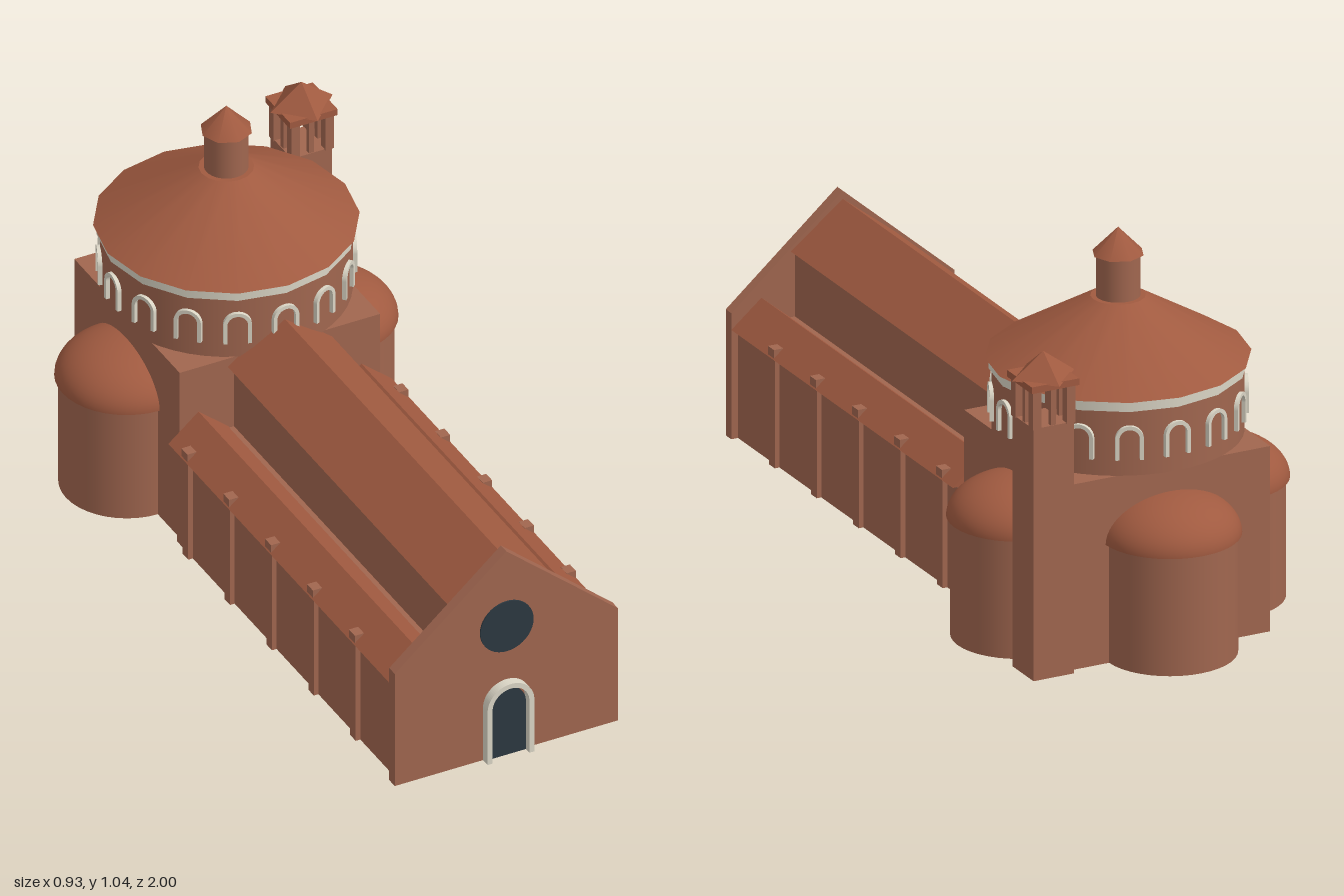
import * as THREE from 'three';

const mat = (color) => new THREE.MeshStandardMaterial({ color });

export function createModel() {
  const model = new THREE.Group();
  model.name = 'basilica';
  const brick = mat(0xa0664f), tile = mat(0xa05a40), cream = mat(0xdad5c5), dark = mat(0x2c3840);

  const add = (name, geo, material, x = 0, y = 0, z = 0, parent = model) => {
    const m = new THREE.Mesh(geo, material);
    m.name = name;
    m.position.set(x, y, z);
    parent.add(m);
    return m;
  };
  // box given by its min and max corners
  const box = (name, material, x0, x1, y0, y1, z0, z1, parent = model) =>
    add(name, new THREE.BoxGeometry(x1 - x0, y1 - y0, z1 - z0), material,
      (x0 + x1) / 2, (y0 + y1) / 2, (z0 + z1) / 2, parent);
  // cylinder or truncated cone standing between two heights
  const drum = (name, material, rTop, rBottom, y0, y1, x, z, sides) =>
    add(name, new THREE.CylinderGeometry(rTop, rBottom, y1 - y0, sides), material, x, (y0 + y1) / 2, z);
  const polygon = (pts) => new THREE.Shape(pts.map(([x, y]) => new THREE.Vector2(x, y)));
  const extrude = (shape, depth) =>
    new THREE.ExtrudeGeometry(shape, { depth, bevelEnabled: false, curveSegments: 20 });
  // round-headed opening standing on y = 0
  const archShape = (r, spring) => {
    const s = new THREE.Shape();
    s.moveTo(-r, 0);
    s.lineTo(r, 0);
    s.lineTo(r, spring);
    s.absarc(0, spring, r, 0, Math.PI, false);
    s.lineTo(-r, 0);
    return s;
  };
  // round-headed frame, open at the foot
  const archFrame = (rOut, rIn, spring) => {
    const s = new THREE.Shape();
    s.moveTo(rIn, 0);
    s.lineTo(rOut, 0);
    s.lineTo(rOut, spring);
    s.absarc(0, spring, rOut, 0, Math.PI, false);
    s.lineTo(-rOut, 0);
    s.lineTo(-rIn, 0);
    s.lineTo(-rIn, spring);
    s.absarc(0, spring, rIn, Math.PI, 0, true);
    s.lineTo(rIn, 0);
    return s;
  };

  // Facade with door and round window
  add('facade', extrude(polygon([[-0.315, 0], [0.315, 0], [0.315, 0.34], [0, 0.612], [-0.315, 0.34]]), 0.03),
    brick, 0, 0, 0.945);
  add('roundWindow', new THREE.CylinderGeometry(0.075, 0.075, 0.006, 40).rotateX(Math.PI / 2), dark, 0, 0.387, 0.976);
  add('door', extrude(archShape(0.052, 0.148), 0.008), dark, 0, 0, 0.973);
  add('doorFrame', extrude(archFrame(0.066, 0.052, 0.159), 0.025), cream, 0, 0, 0.975);

  // Nave and its gabled roof
  const zBack = -0.25, zFront = 0.945;
  box('naveWalls', brick, -0.135, 0.135, 0, 0.478, -0.24, zFront);
  add('naveRoof', extrude(polygon([[-0.147, 0.475], [0.147, 0.475], [0, 0.59]]), zFront - zBack), tile, 0, 0, zBack);

  // Side aisles with gabled roofs and pilasters
  for (const s of [-1, 1]) {
    const [a, b] = s > 0 ? [0.13, 0.296] : [-0.296, -0.13];
    box('aisleWalls', brick, a, b, 0, 0.298, -0.24, zFront);
    const c = 0.23 * s;
    add('aisleRoof', extrude(polygon([[c - 0.085, 0.295], [c + 0.085, 0.295], [c, 0.366]]), zFront - zBack),
      tile, 0, 0, zBack);
    for (let i = 0; i < 5; i++) {
      const z = 0.737 - i * 0.2265;
      add('pilaster', new THREE.BoxGeometry(0.024, 0.296, 0.03), brick, 0.297 * s, 0.148, z);
      add('pilasterCap', new THREE.BoxGeometry(0.026, 0.03, 0.032), brick, 0.299 * s, 0.305, z);
    }
  }

  // Crossing block
  const cz = -0.54;
  box('crossing', brick, -0.283, 0.283, 0, 0.5, -0.82, -0.25);

  // Three apses with flattened half domes
  const dome = new THREE.SphereGeometry(0.182, 40, 14, 0, Math.PI * 2, 0, Math.PI / 2).scale(1, 0.61, 1);
  const underside = new THREE.CircleGeometry(0.182, 40).rotateX(Math.PI / 2);
  for (const [x, z] of [[-0.281, cz], [0.281, cz], [0, -0.818]]) {
    drum('apse', brick, 0.172, 0.172, 0, 0.32, x, z, 40);
    add('apseDome', dome, tile, x, 0.32, z);
    add('apseEave', underside, tile, x, 0.32, z);
  }

  // Drum, cornice, roof and lantern
  drum('drum', brick, 0.317, 0.317, 0.5, 0.68, 0, cz, 48);
  drum('cornice', cream, 0.326, 0.326, 0.675, 0.7, 0, cz, 16);
  drum('drumRoof', tile, 0.07, 0.335, 0.703, 0.862, 0, cz, 16);
  drum('lantern', brick, 0.056, 0.056, 0.86, 0.977, 0, cz, 32);
  drum('lanternRoof', tile, 0, 0.067, 0.975, 1.045, 0, cz, 8);

  // Ring of arched window frames around the drum
  const windowGeo = extrude(archFrame(0.036, 0.026, 0.055), 0.016);
  for (let i = 0; i < 16; i++) {
    const a = (i / 16) * Math.PI * 2;
    const frame = add('drumWindowFrame', windowGeo, cream, Math.sin(a) * 0.31, 0.545, cz + Math.cos(a) * 0.31);
    frame.rotation.y = a;
  }

  // Bell tower with open belfry
  const tower = new THREE.Group();
  tower.name = 'bellTower';
  tower.position.set(0.34, 0, -0.785);
  model.add(tower);
  box('towerShaft', brick, -0.057, 0.057, 0, 0.68, -0.057, 0.057, tower);
  for (let i = -1; i <= 1; i++) {
    for (let j = -1; j <= 1; j++) {
      if (i === 0 && j === 0) continue;
      const w = i && j ? 0.024 : 0.014;
      add('belfryPost', new THREE.BoxGeometry(w, 0.104, w), brick, i * 0.048, 0.73, j * 0.048, tower);
    }
  }
  box('belfryCap', tile, -0.067, 0.067, 0.78, 0.798, -0.067, 0.067, tower);
  const spire = new THREE.ConeGeometry(0.088, 0.066, 4).toNonIndexed();
  spire.computeVertexNormals();
  add('belfryRoof', spire, tile, 0, 0.828, 0, tower);

  return model;
}
